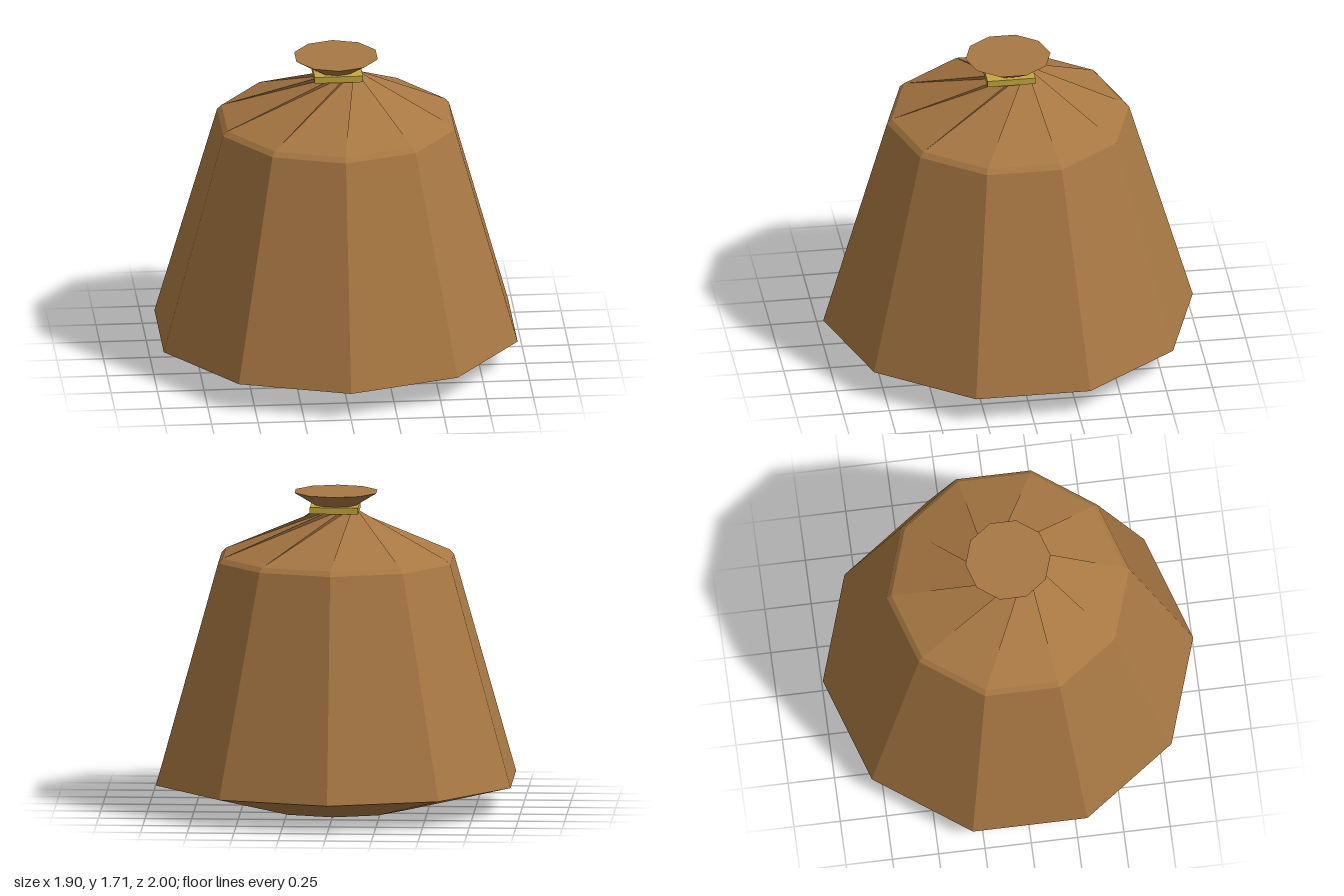
import * as THREE from 'three';

const SIDES = 10;

// Closed sack skin lofted through rings of [radius, y, twist in side steps]
function loft(rings) {
  const pos = [];
  const point = ([r, y, twist], i) => {
    const a = ((i + twist) / SIDES) * Math.PI * 2;
    return [r * Math.sin(a), y, r * Math.cos(a)];
  };
  const tri = (a, b, c) => pos.push(...a, ...b, ...c);
  const first = rings[0], last = rings[rings.length - 1];
  for (let i = 0; i < SIDES; i++) {
    for (let k = 0; k < rings.length - 1; k++) {
      const a = point(rings[k], i), b = point(rings[k], i + 1);
      const c = point(rings[k + 1], i + 1), d = point(rings[k + 1], i);
      tri(a, b, c);
      tri(a, c, d);
    }
    tri([0, first[1], 0], point(first, i + 1), point(first, i));
    tri([0, last[1], 0], point(last, i), point(last, i + 1));
  }
  const geo = new THREE.BufferGeometry();
  geo.setAttribute('position', new THREE.Float32BufferAttribute(pos, 3));
  geo.computeVertexNormals();
  return geo;
}

export function createModel() {
  const burlap = new THREE.MeshStandardMaterial({ color: 0xa87843, flatShading: true });
  burlap.name = 'brown cloth';
  const cord = new THREE.MeshStandardMaterial({ color: 0xc4a83f, flatShading: true });
  cord.name = 'yellow cord';

  const group = new THREE.Group();
  group.name = 'tiedSack';

  // Sack: sloped base, tapering sides, twisted pleats and flared mouth
  const sack = new THREE.Mesh(loft([
    [0.41, 0, 0],
    [1, 0.15, 0],
    [0.655, 1.34, 0],
    [0.63, 1.365, 0],
    [0.1, 1.625, 2],
    [0.23, 1.705, 2],
  ]), burlap);
  sack.name = 'sack';
  group.add(sack);

  // Square tie around the neck
  const tie = new THREE.Mesh(new THREE.BoxGeometry(0.26, 0.035, 0.26), cord);
  tie.name = 'neckTie';
  tie.position.set(0.005, 1.617, 0);
  group.add(tie);

  return group;
}
